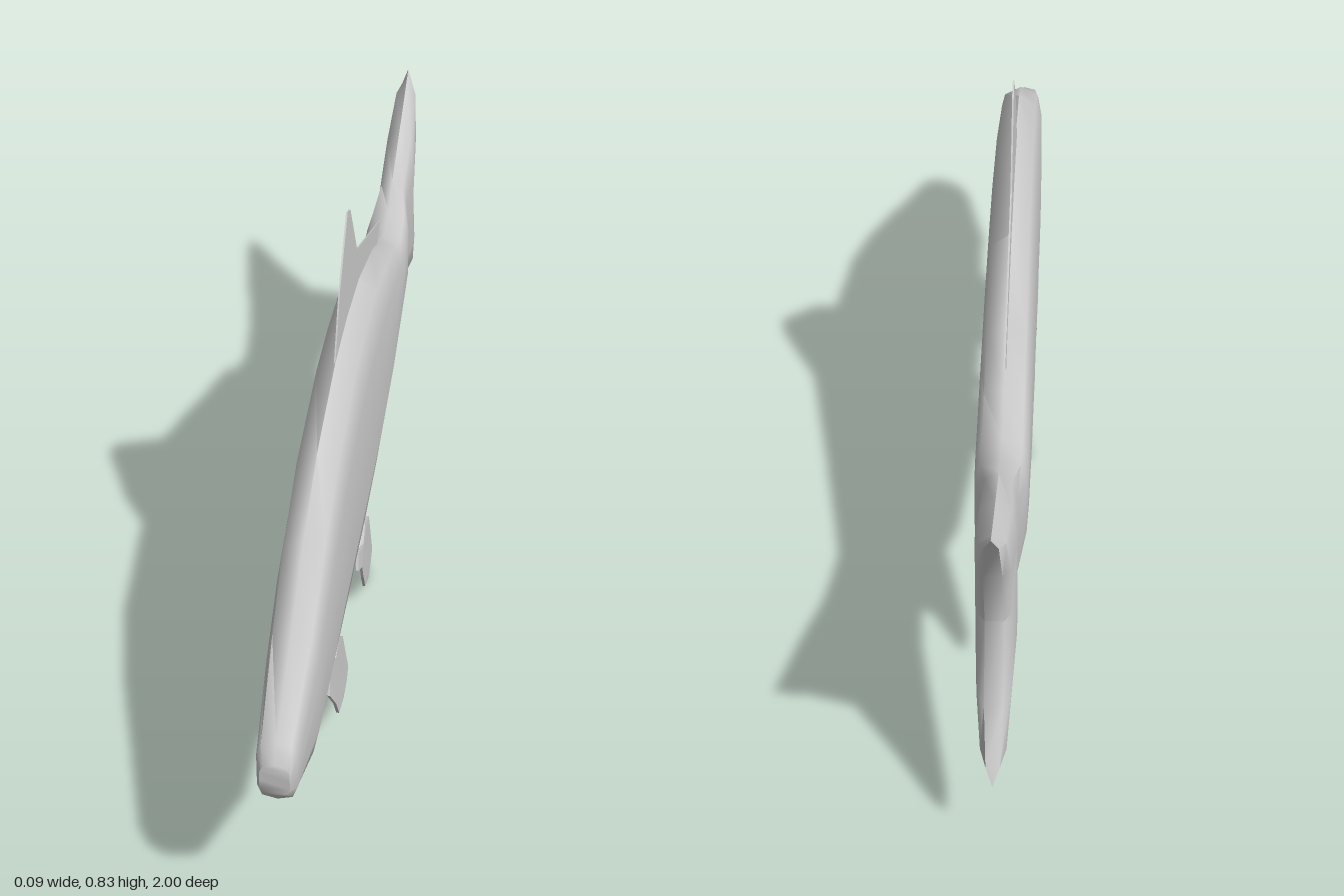
import * as THREE from 'three';
import { toCreasedNormals } from 'three/addons/utils/BufferGeometryUtils.js';

const material = new THREE.MeshStandardMaterial({ color: 0xcccccc });
const finMaterial = new THREE.MeshStandardMaterial({ color: 0xcccccc, side: THREE.DoubleSide });

// Half cross-section, top to bottom: [height fraction, width fraction]
const HALF = [[1, 0], [0.945, 0.76], [0.76, 1], [0.5, 1], [0.23, 1], [0.055, 0.76], [0, 0]];
const RING = [...HALF, ...HALF.slice(1, -1).reverse().map(([t, w]) => [t, -w])];

// Body and tail stations: [z, bottom, top, half width, fork depth]
const STATIONS = [
  [1.0, 0.285, 0.345, 0.024, 0],
  [0.975, 0.255, 0.37, 0.032, 0],
  [0.8, 0.185, 0.455, 0.042, 0],
  [0.66, 0.178, 0.53, 0.045, 0],
  [0.5, 0.17, 0.59, 0.046, 0],
  [0.25, 0.157, 0.625, 0.046, 0],
  [0.1, 0.15, 0.622, 0.046, 0],
  [-0.08, 0.153, 0.602, 0.046, 0],
  [-0.3, 0.19, 0.545, 0.046, 0],
  [-0.42, 0.24, 0.497, 0.046, 0],
  [-0.52, 0.28, 0.461, 0.046, 0],
  [-0.6, 0.28, 0.475, 0.044, 0],
  [-0.68, 0.25, 0.508, 0.031, 0],
  [-0.8, 0.203, 0.558, 0.034, 0.02],
  [-0.87, 0.14, 0.612, 0.028, 0.1],
  [-0.89, 0.125, 0.625, 0.015, 0.11],
];

// Lofts the stations into one closed skin; the fork depth sweeps the tail tips back
function bodyGeometry() {
  const n = RING.length, pos = [], idx = [];
  for (const [z, bottom, top, w, fork] of STATIONS)
    for (const [t, wx] of RING)
      pos.push(w * wx, bottom + (top - bottom) * t, z - fork * Math.abs(2 * t - 1) ** 1.3);
  for (let s = 0; s < STATIONS.length - 1; s++)
    for (let i = 0; i < n; i++) {
      const a = s * n + i, b = s * n + (i + 1) % n;
      idx.push(a, b, a + n, b, b + n, a + n);
    }
  // Strips across the section close the nose and the tail edge
  const end = (STATIONS.length - 1) * n;
  const cap = (a, b, c) => {
    if (a === b || b === c || a === c) return;
    idx.push(a, b, c, end + a, end + c, end + b);
  };
  for (let i = 0; i < n / 2; i++) {
    const l = (n - i) % n, l2 = n - i - 1;
    cap(i, l, i + 1);
    cap(l, l2, i + 1);
  }
  const g = new THREE.BufferGeometry();
  g.setAttribute('position', new THREE.Float32BufferAttribute(pos, 3));
  g.setIndex(idx);
  return toCreasedNormals(g, 1.1);
}

// Thin fin from a side outline of [z, y]; offset gives its x at each height
function fin(name, outline, thickness, offset) {
  const shape = new THREE.Shape(outline.map(([z, y]) => new THREE.Vector2(z, y)));
  const g = new THREE.ExtrudeGeometry(shape, { depth: thickness, bevelEnabled: false });
  g.translate(0, 0, -thickness / 2).rotateY(-Math.PI / 2);
  const p = g.attributes.position;
  for (let i = 0; i < p.count; i++) p.setX(i, p.getX(i) + offset(p.getY(i)));
  g.computeVertexNormals();
  const mesh = new THREE.Mesh(g, finMaterial);
  mesh.name = name;
  return mesh;
}

const DORSAL = [[0.265, 0.62], [0.2, 0.73], [0.09, 0.83], [0.05, 0.815], [-0.05, 0.68],
  [-0.43, 0.54], [-0.385, 0.51], [-0.25, 0.54], [0, 0.59]];
const ANAL = [[-0.33, 0.195], [-0.42, 0.26], [-0.5, 0.285], [-0.555, 0.255], [-0.55, 0.19],
  [-0.59, 0.12], [-0.585, 0.1], [-0.54, 0.1], [-0.45, 0.14]];
const PECTORAL = [[0.64, 0.185], [0.625, 0.212], [0.58, 0.212], [0.55, 0.195], [0.51, 0.21],
  [0.47, 0.18], [0.42, 0.07], [0.43, 0.045], [0.47, 0.04], [0.55, 0.07], [0.59, 0.125]];
const PELVIC = [[0.25, 0.16], [0.235, 0.185], [0.17, 0.162], [0.13, 0.182], [0.08, 0.165],
  [0.03, 0.05], [0.03, 0.012], [0.06, 0], [0.14, 0.04], [0.19, 0.1], [0.205, 0.135]];

export function createModel() {
  const fish = new THREE.Group();
  fish.name = 'fish';

  const body = new THREE.Mesh(bodyGeometry(), material);
  body.name = 'bodyAndTail';
  fish.add(body);

  fish.add(fin('dorsalFin', DORSAL, 0.003, () => -0.001));
  fish.add(fin('analFin', ANAL, 0.004, () => 0.004));

  // Paired fins bow slightly outward below the belly
  const bow = (y) => 0.034 + 0.006 * Math.sin(Math.PI * Math.min(1, y / 0.2));
  for (const [side, sx] of [['left', 1], ['right', -1]]) {
    fish.add(fin(side + 'PectoralFin', PECTORAL, 0.005, (y) => sx * bow(y)));
    fish.add(fin(side + 'PelvicFin', PELVIC, 0.005, (y) => sx * bow(y)));
  }
  return fish;
}
